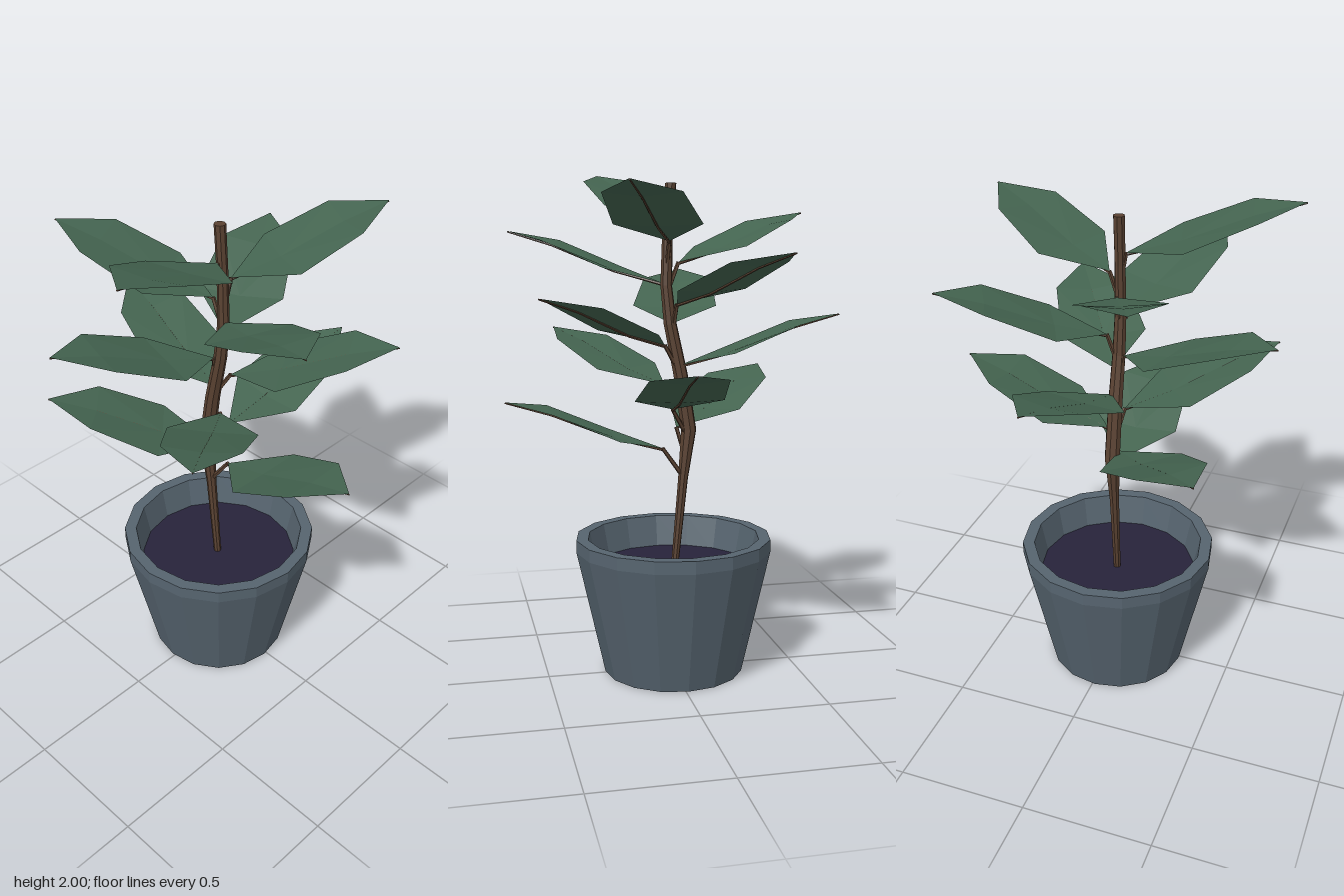
import * as THREE from 'three';

const paint = (name, color, side = THREE.FrontSide) => {
  const m = new THREE.MeshStandardMaterial({ color, side, flatShading: true });
  m.name = name;
  return m;
};

// Trunk rings: x, y, radius
const TRUNK = [
  [-0.015, 0.41, 0.015], [-0.05, 0.78, 0.02], [-0.073, 0.98, 0.031], [-0.04, 1.2, 0.029],
  [0.002, 1.4, 0.026], [0.018, 1.55, 0.023], [0.013, 1.75, 0.021], [0, 1.94, 0.022],
];

// Leaf tips, lowest first: x, y, z
const TIPS = [
  [0.65, 1.11, 0.01], [-0.49, 1.19, 0.46], [0.05, 1.27, -0.65], [0.40, 1.36, 0.54],
  [-0.65, 1.44, -0.11], [0.55, 1.52, -0.35], [-0.18, 1.60, 0.65], [-0.31, 1.68, -0.59],
  [0.61, 1.76, 0.24], [-0.61, 1.84, 0.26], [0.27, 1.92, -0.59], [0.19, 2.0, 0.64],
];

// Point on the trunk's centre line at height y
function trunkAt(y) {
  const i = Math.max(1, TRUNK.findIndex((r) => r[1] >= y));
  const [a, b] = [TRUNK[i - 1], TRUNK[i]];
  return new THREE.Vector3(THREE.MathUtils.mapLinear(y, a[1], b[1], a[0], b[0]), y, 0.01);
}

// Straight tapered stick from a to b
function stick(a, b, ra, rb, material, name) {
  const dir = b.clone().sub(a);
  const mesh = new THREE.Mesh(new THREE.CylinderGeometry(rb, ra, dir.length(), 5), material);
  mesh.position.copy(a).add(b).multiplyScalar(0.5);
  mesh.quaternion.setFromUnitVectors(new THREE.Vector3(0, 1, 0), dir.normalize());
  mesh.name = name;
  return mesh;
}

// Bent trunk: each ring of a cylinder is moved onto the trunk line
function makeTrunk(material) {
  const n = TRUNK.length - 1;
  const geo = new THREE.CylinderGeometry(1, 1, 1, 8, n);
  const p = geo.attributes.position;
  for (let i = 0; i < p.count; i++) {
    const [x, y, r] = TRUNK[Math.round((p.getY(i) + 0.5) * n)];
    p.setXYZ(i, x + p.getX(i) * r, y, 0.01 + p.getZ(i) * r);
  }
  geo.computeVertexNormals();
  const mesh = new THREE.Mesh(geo, material);
  mesh.name = 'trunk';
  return mesh;
}

// One leaf with petiole and midrib
function makeLeaf(tipXYZ, leafMat, barkMat) {
  const group = new THREE.Group();
  group.name = 'leafBranch';
  const tip = new THREE.Vector3(...tipXYZ);
  const out = new THREE.Vector3(tip.x, 0, tip.z).normalize();
  const side = new THREE.Vector3(out.z, 0, -out.x);
  const base = out.clone().multiplyScalar(0.035).setY(tip.y - 0.2);
  const length = Math.hypot(tip.x - base.x, tip.z - base.z);
  const at = (u, v, h) => base.clone().addScaledVector(out, u * length)
    .addScaledVector(side, v).setY(base.y + h);

  // 0 base, 1-2 midrib, 3 tip, 4-5 one edge, 6-7 other edge
  const pts = [
    base, at(0.31, 0, 0.05), at(0.71, 0, 0.148), tip,
    at(0.32, 0.17, 0.06), at(0.72, 0.145, 0.165),
    at(0.32, -0.17, 0.06), at(0.72, -0.145, 0.165),
  ];
  const geo = new THREE.BufferGeometry().setFromPoints(pts);
  geo.setIndex([
    0, 1, 4, 1, 5, 4, 1, 2, 5, 2, 3, 5,
    0, 6, 1, 1, 6, 7, 1, 7, 2, 2, 7, 3,
  ]);
  geo.computeVertexNormals();
  const blade = new THREE.Mesh(geo, leafMat);
  blade.name = 'leafBlade';
  group.add(blade);

  group.add(stick(trunkAt(base.y - 0.12), base, 0.01, 0.008, barkMat, 'petiole'));
  // Midrib hangs just below the blade
  const radii = [0.006, 0.005, 0.004, 0.003];
  for (let i = 0; i < 3; i++) {
    const drop = (k) => pts[k].clone().setY(pts[k].y - radii[k]);
    group.add(stick(drop(i), drop(i + 1), radii[i], radii[i + 1], barkMat, 'midrib'));
  }
  return group;
}

export function createModel() {
  const model = new THREE.Group();
  model.name = 'pottedPlant';
  const potMat = paint('potGrey', 0x56646f);
  const soilMat = paint('darkSoil', 0x27233a);
  const barkMat = paint('barkBrown', 0x5a4232);
  const leafMat = paint('leafGreen', 0x446450, THREE.DoubleSide);

  // Pot with hollow rim
  const profile = [[0, 0], [0.28, 0], [0.392, 0.5], [0.392, 0.55], [0.345, 0.55], [0.315, 0.41]]
    .map(([r, y]) => new THREE.Vector2(r, y));
  const pot = new THREE.Mesh(new THREE.LatheGeometry(profile, 16), potMat);
  pot.name = 'pot';
  pot.position.set(-0.01, 0, 0.01);
  model.add(pot);

  const soil = new THREE.Mesh(new THREE.CircleGeometry(0.32, 16), soilMat);
  soil.name = 'soil';
  soil.rotation.x = -Math.PI / 2;
  soil.position.set(-0.01, 0.425, 0.01);
  model.add(soil);

  model.add(makeTrunk(barkMat));
  TIPS.forEach((tip) => model.add(makeLeaf(tip, leafMat, barkMat)));
  return model;
}
